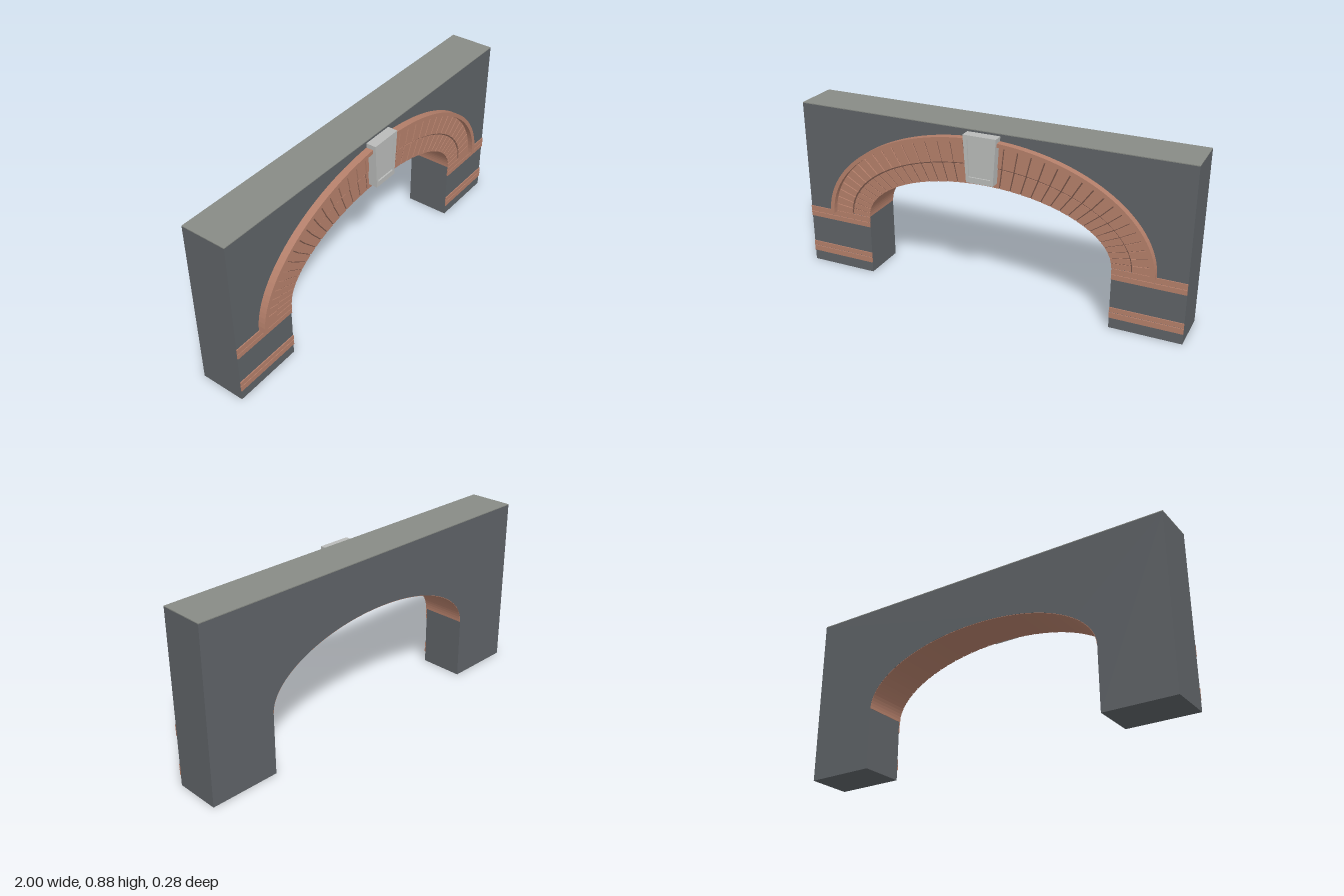
import * as THREE from 'three';

const SPRING = 0.317, BACK = -0.14, FACE = 0.09;

export function createModel() {
  const group = new THREE.Group();
  const mat = (name, color) => {
    const m = new THREE.MeshStandardMaterial({ color });
    m.name = name;
    return m;
  };
  const wallGrey = mat('wall grey', 0x5e6266);
  const copingGrey = mat('coping grey', 0x888b85);
  const brick = mat('brick', 0xb47f6a);
  const mortar = mat('mortar', 0x735246);
  const stone = mat('pale stone', 0xb9bbb9);

  const add = (name, geometry, material, parent = group) => {
    const mesh = new THREE.Mesh(geometry, material);
    mesh.name = name;
    parent.add(mesh);
    return mesh;
  };
  const folder = (name) => {
    const g = new THREE.Group();
    g.name = name;
    group.add(g);
    return g;
  };
  const extrude = (shape, z0, z1) =>
    new THREE.ExtrudeGeometry(shape, { depth: z1 - z0, bevelEnabled: false }).translate(0, 0, z0);
  const box = (x0, x1, y0, y1, z0, z1) =>
    new THREE.BoxGeometry(x1 - x0, y1 - y0, z1 - z0).translate((x0 + x1) / 2, (y0 + y1) / 2, (z0 + z1) / 2);

  // Points along an elliptical arch line of half width a and rise b
  const arc = ([a, b], t0, t1, n) => Array.from({ length: n + 1 }, (_, i) => {
    const t = t0 + (t1 - t0) * i / n;
    return new THREE.Vector2(a * Math.cos(t), SPRING + b * Math.sin(t));
  });
  // Block between two arch lines
  const sector = (inner, outer, t0, t1, n, z0, z1) =>
    extrude(new THREE.Shape([...arc(outer, t0, t1, n), ...arc(inner, t0, t1, n).reverse()]), z0, z1);

  // Wall with its arched opening
  const opening = [0.645, 0.295];
  const wall = new THREE.Shape([
    new THREE.Vector2(-1, 0), new THREE.Vector2(-0.645, 0),
    ...arc(opening, Math.PI, 0, 64),
    new THREE.Vector2(0.645, 0), new THREE.Vector2(1, 0),
    new THREE.Vector2(1, 0.876), new THREE.Vector2(-1, 0.876),
  ]);
  add('wall', extrude(wall, BACK, FACE), wallGrey);
  add('coping', box(-1, 1, 0.876, 0.88, BACK, FACE), copingGrey);

  // Brick underside of the arch
  add('soffit', sector([0.643, 0.293], opening, 0, Math.PI, 64, BACK + 0.001, FACE), brick);

  // Arch face: mortar bed, two courses of bricks and a raised rim
  const outerLine = [0.838, 0.513];
  add('mortarBed', sector(opening, outerLine, 0, Math.PI, 64, FACE - 0.005, FACE + 0.002), mortar);
  const courses = [
    { name: 'innerCourse', inner: [0.643, 0.293], outer: [0.737, 0.389], front: 0.095 },
    { name: 'outerCourse', inner: [0.744, 0.396], outer: outerLine, front: 0.099 },
  ];
  const count = 37, step = Math.PI / count, gap = 0.0045;
  for (const { name, inner, outer, front } of courses) {
    const course = folder(name);
    for (let i = 0; i < count; i++) {
      add('brick', sector(inner, outer, i * step + gap, (i + 1) * step - gap, 3, FACE - 0.002, front), brick, course);
    }
  }
  add('archRim', sector([0.835, 0.509], [0.857, 0.529], 0, Math.PI, 64, FACE - 0.002, 0.126), brick);

  // Paired string courses on both piers
  const bands = folder('bands');
  for (const x0 of [-1, 0.645]) {
    for (const [y0, y1] of [[0.055, 0.083], [0.087, 0.111], [0.259, 0.284], [0.287, 0.315]]) {
      add('band', box(x0, x0 + 0.355, y0, y1, FACE - 0.002, 0.095), brick, bands);
    }
  }

  // Tapered keystone with a sunken panel
  const quad = (bottom, top, y0, y1, Kind = THREE.Shape) => new Kind([
    new THREE.Vector2(-bottom, y0), new THREE.Vector2(bottom, y0),
    new THREE.Vector2(top, y1), new THREE.Vector2(-top, y1),
  ]);
  const keystone = folder('keystone');
  const frame = quad(0.069, 0.084, 0.633, 0.867);
  frame.holes.push(quad(0.056, 0.063, 0.661, 0.846, THREE.Path));
  add('keystoneFrame', extrude(frame, FACE - 0.002, 0.141), stone, keystone);
  add('keystonePanel', extrude(quad(0.058, 0.065, 0.659, 0.848), FACE - 0.002, 0.133), stone, keystone);

  return group;
}
